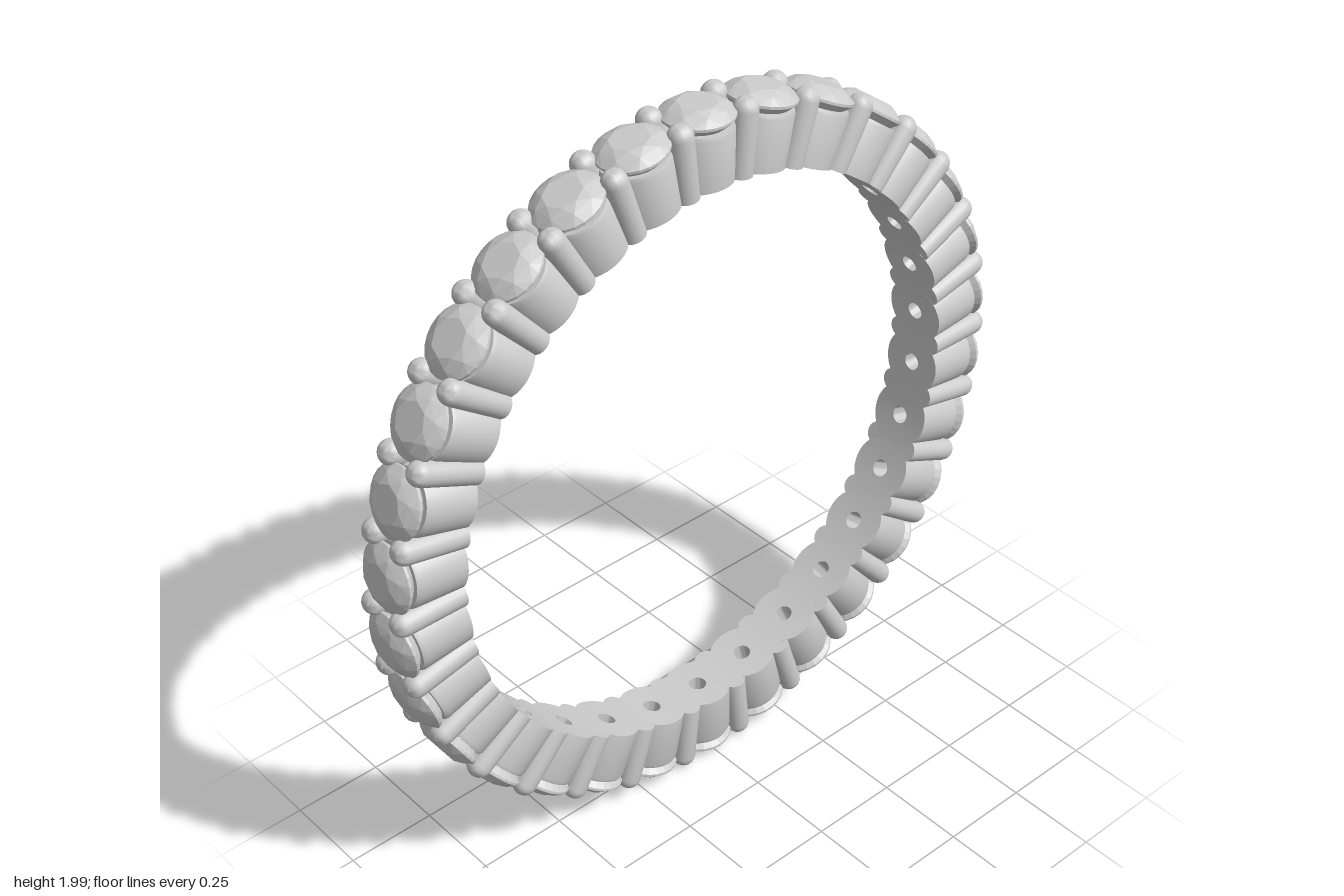
import * as THREE from 'three';
import { toCreasedNormals } from 'three/addons/utils/BufferGeometryUtils.js';
import { ConvexGeometry } from 'three/addons/geometries/ConvexGeometry.js';

const COUNT = 30;        // stones around the band
const INNER = 0.8;       // finger radius
const CENTRE_Y = 0.997;

const v2 = (pairs) => pairs.map(([x, y]) => new THREE.Vector2(x, y));

// Drilled cup, its underside bent to follow the finger hole
function cupGeometry() {
  const profile = v2([
    [0.024, 0.8], [0.045, 0.8], [0.068, 0.8], [0.09, 0.8],
    [0.09, 0.935], [0.086, 0.945], [0.073, 0.945], [0.024, 0.885], [0.024, 0.8],
  ]);
  const geo = new THREE.LatheGeometry(profile, 40);
  const p = geo.attributes.position;
  for (let i = 0; i < p.count; i++) {
    if (p.getY(i) < INNER + 0.001) p.setY(i, Math.sqrt(INNER * INNER - p.getX(i) ** 2));
  }
  return toCreasedNormals(geo, 0.6);
}

// Round brilliant: table, crown break, girdle and culet
function stoneGeometry() {
  const points = [new THREE.Vector3(0, 0.875, 0)];
  const ring = (n, r, y, turn = 0) => {
    for (let i = 0; i < n; i++) {
      const a = ((i + turn) / n) * Math.PI * 2;
      points.push(new THREE.Vector3(r * Math.cos(a), y, r * Math.sin(a)));
    }
  };
  ring(8, 0.05, 0.997);
  ring(8, 0.073, 0.987, 0.5);
  ring(24, 0.093, 0.97);
  ring(24, 0.093, 0.963);
  return new ConvexGeometry(points);
}

// Straight wire with a domed tip
function prongGeometry() {
  const r = 0.033, profile = [[0, INNER], [r, INNER]];
  for (let i = 0; i <= 6; i++) {
    const a = (i / 6) * Math.PI / 2;
    profile.push([r * Math.cos(a), 1 - r + r * Math.sin(a)]);
  }
  return toCreasedNormals(new THREE.LatheGeometry(v2(profile), 18), 0.6);
}

export function createModel() {
  const metal = new THREE.MeshStandardMaterial({ color: 0xcccccc });
  const gem = new THREE.MeshStandardMaterial({ color: 0xcccccc, flatShading: true });
  const cup = cupGeometry(), stone = stoneGeometry(), prong = prongGeometry();
  const model = new THREE.Group();
  model.name = 'eternityRing';

  const add = (parent, geometry, material, name, z = 0) => {
    const mesh = new THREE.Mesh(geometry, material);
    mesh.name = name;
    mesh.position.z = z;
    parent.add(mesh);
  };

  const step = (Math.PI * 2) / COUNT;
  for (let i = 0; i < COUNT; i++) {
    // Setting: cup and stone
    const setting = new THREE.Group();
    setting.name = 'setting';
    setting.position.y = CENTRE_Y;
    setting.rotation.z = i * step;
    add(setting, cup, metal, 'cup');
    add(setting, stone, gem, 'stone');
    model.add(setting);

    // Pair of prongs shared by neighbouring stones
    const pair = new THREE.Group();
    pair.name = 'prongPair';
    pair.position.y = CENTRE_Y;
    pair.rotation.z = (i + 0.5) * step;
    for (const side of [-1, 1]) add(pair, prong, metal, 'prong', side * 0.055);
    model.add(pair);
  }
  return model;
}
